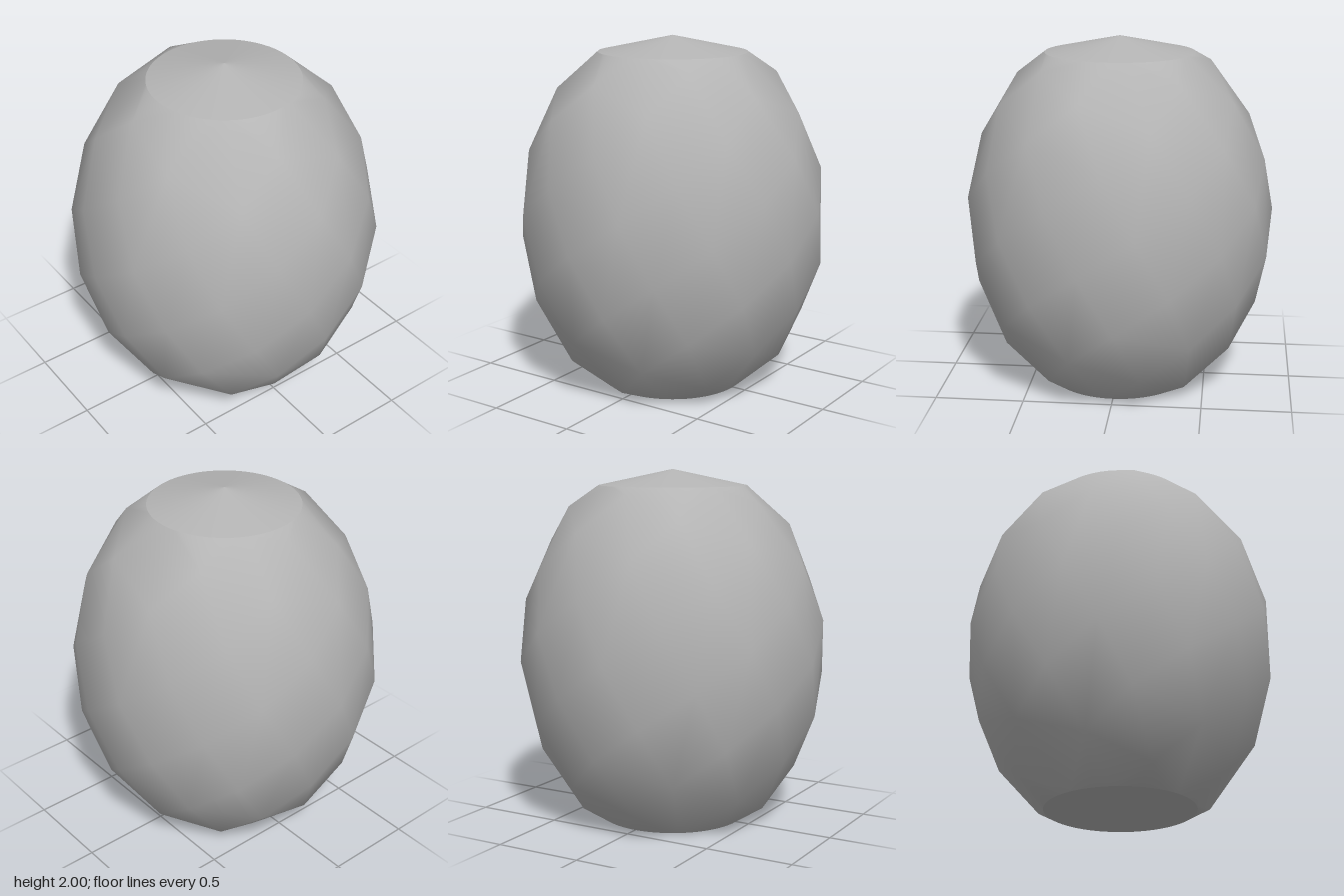
import * as THREE from 'three';
import { ConvexGeometry } from 'three/addons/geometries/ConvexGeometry.js';
import { mergeVertices } from 'three/addons/utils/BufferGeometryUtils.js';

const BODY_HEIGHT = 1.91, RIM = 0.42, SWELL = 0.457, APEX = 2;
const NODES = 73, RIM_SIDES = 64;
const GOLDEN = Math.PI * (3 - Math.sqrt(5));

// Barrel profile: narrow rims with a full belly
const radiusAt = (t) => RIM + SWELL * Math.pow(Math.sin(Math.PI * t), 0.6);

const onRing = (angle, radius, y) =>
  new THREE.Vector3(Math.cos(angle) * radius, y, -Math.sin(angle) * radius);

// Faceted skin stretched over nodes that climb in golden-angle spirals
function bodyGeometry() {
  const points = [];
  for (let i = 0; i < NODES; i++) {
    const t = 0.02 + (0.96 * i) / (NODES - 1);
    points.push(onRing(i * GOLDEN, radiusAt(t), t * BODY_HEIGHT));
  }
  for (let i = 0; i < RIM_SIDES; i++) {
    const a = (i / RIM_SIDES) * Math.PI * 2;
    points.push(onRing(a, RIM, 0), onRing(a, RIM, BODY_HEIGHT));
  }
  const hull = new ConvexGeometry(points).getAttribute('position');

  // Leave the two flat ends open; the cap and base close them
  const kept = [];
  for (let i = 0; i < hull.count; i += 3) {
    const ys = [0, 1, 2].map((k) => hull.getY(i + k));
    if (Math.max(...ys) < 0.001 || Math.min(...ys) > BODY_HEIGHT - 0.001) continue;
    for (let k = 0; k < 3; k++) kept.push(hull.getX(i + k), ys[k], hull.getZ(i + k));
  }
  const open = new THREE.BufferGeometry();
  open.setAttribute('position', new THREE.Float32BufferAttribute(kept, 3));
  const skin = mergeVertices(open, 1e-4);
  skin.computeVertexNormals();
  return skin;
}

export function createModel() {
  const group = new THREE.Group();
  group.name = 'facetedBarrel';
  const grey = new THREE.MeshStandardMaterial({ color: 0xb4b4b4 });
  grey.name = 'grey';

  const add = (name, geometry) => {
    const mesh = new THREE.Mesh(geometry, grey);
    mesh.name = name;
    group.add(mesh);
    return mesh;
  };

  add('body', bodyGeometry());

  // Shallow conical lid
  const capHeight = APEX - BODY_HEIGHT;
  add('cap', new THREE.ConeGeometry(RIM, capHeight, RIM_SIDES, 1, true))
    .position.y = BODY_HEIGHT + capHeight / 2;

  // Flat underside
  add('base', new THREE.CircleGeometry(RIM, RIM_SIDES)).rotation.x = Math.PI / 2;

  return group;
}
